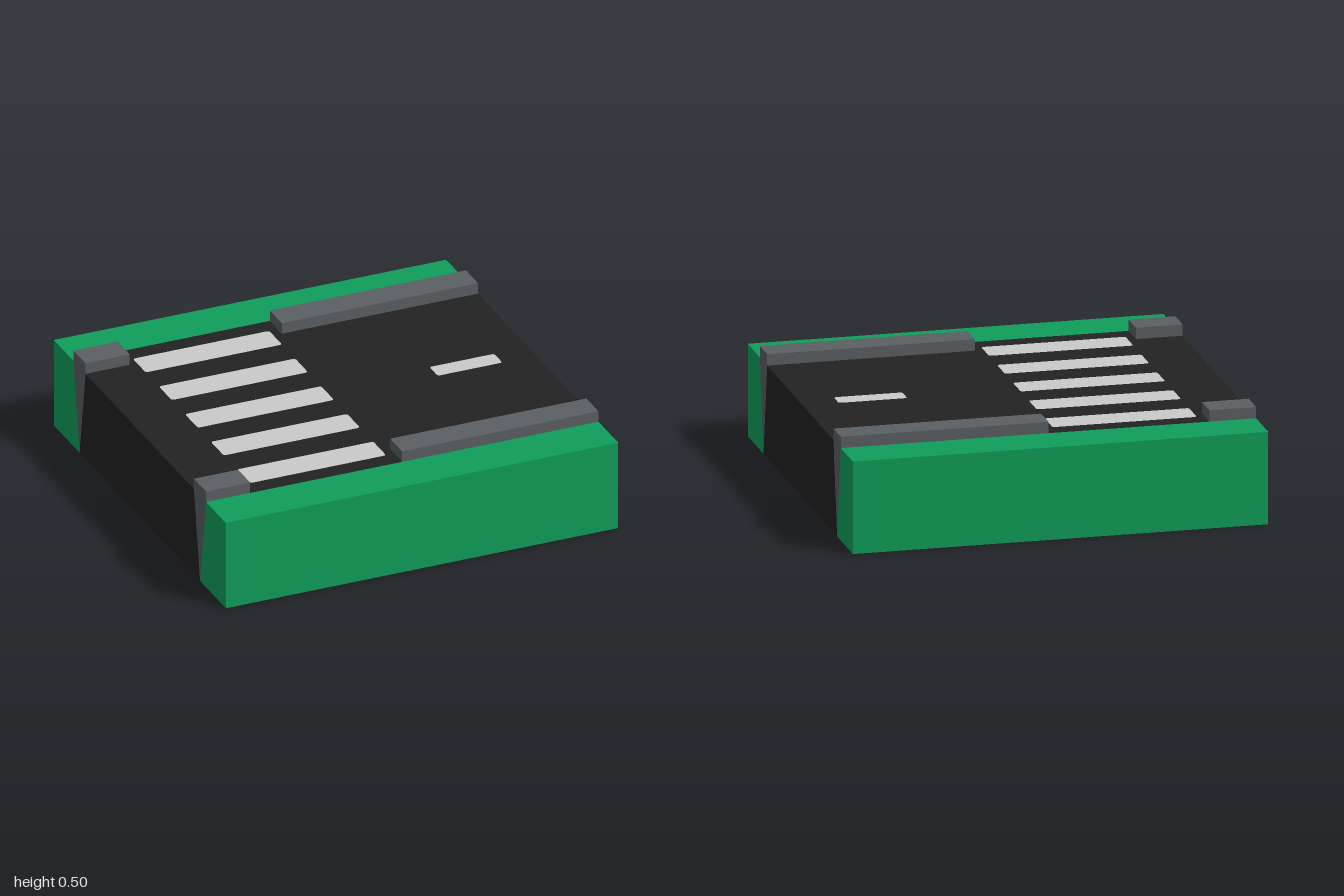
import * as THREE from 'three';

const paint = (name, color) => {
  const m = new THREE.MeshStandardMaterial({ color, side: THREE.DoubleSide });
  m.name = name;
  return m;
};

// heights, and half widths of the road inside and outside the kerbs
const ROAD_Y = 0.45, KERB_Y = 0.505, INNER = 0.63, OUTER = 0.77, FOOT = 0.7;
const KERBS = [[-1, -0.775], [0, 1]];

// flat convex panel from corner points, turned to face the given direction
function panel(name, material, corners, facing) {
  const p = corners.map((c) => new THREE.Vector3(...c));
  const normal = p[1].clone().sub(p[0]).cross(p[2].clone().sub(p[0]));
  if (normal.dot(new THREE.Vector3(...facing)) < 0) p.reverse();
  const tris = [];
  for (let i = 1; i < p.length - 1; i++) tris.push(p[0], p[i], p[i + 1]);
  const g = new THREE.BufferGeometry().setFromPoints(tris);
  g.computeVertexNormals();
  const mesh = new THREE.Mesh(g, material);
  mesh.name = name;
  return mesh;
}

// flat outline lying on the road surface
function layFlat(name, material, shape) {
  const g = new THREE.ShapeGeometry(shape, 4).rotateX(-Math.PI / 2);
  const mesh = new THREE.Mesh(g, material);
  mesh.name = name;
  mesh.position.y = ROAD_Y;
  return mesh;
}

function roundedRect(cx, cz, w, d, r = 0.015) {
  const x0 = cx - w / 2, x1 = cx + w / 2, y0 = cz - d / 2, y1 = cz + d / 2;
  const s = new THREE.Shape();
  s.moveTo(x0 + r, y0);
  s.lineTo(x1 - r, y0);
  s.quadraticCurveTo(x1, y0, x1, y0 + r);
  s.lineTo(x1, y1 - r);
  s.quadraticCurveTo(x1, y1, x1 - r, y1);
  s.lineTo(x0 + r, y1);
  s.quadraticCurveTo(x0, y1, x0, y1 - r);
  s.lineTo(x0, y0 + r);
  s.quadraticCurveTo(x0, y0, x0 + r, y0);
  return s;
}

export function createModel() {
  const grass = paint('grass green', 0x0f9d5a);
  const asphalt = paint('asphalt black', 0x222222);
  const stone = paint('kerb grey', 0x5a5f63);
  const white = paint('marking white', 0xc9c9c9);

  const model = new THREE.Group();
  model.name = 'crossingRoadTile';

  // crossing stripes and one lane dash, set flush into the road
  const marks = [-0.605, -0.3025, 0, 0.3025, 0.605].map((z) => roundedRect(-0.39, z, 0.695, 0.15));
  marks.push(roundedRect(0.662, 0, 0.33, 0.096));
  marks.forEach((s, i) => model.add(layFlat(i < 5 ? 'crossingStripe' : 'laneDash', white, s)));

  // road surface, widening where the kerb is dropped
  const edge = [[-1, INNER], [KERBS[0][1], INNER], [KERBS[0][1], OUTER], [0, OUTER], [0, INNER], [1, INNER]];
  const outline = [...edge, ...edge.map(([x, z]) => [x, -z]).reverse()];
  const road = new THREE.Shape(outline.map(([x, z]) => new THREE.Vector2(x, z)));
  road.holes.push(...marks);
  model.add(layFlat('roadSurface', asphalt, road));

  // road ends
  for (const x of [-1, 1]) {
    model.add(panel('roadEnd', asphalt,
      [[x, 0, -FOOT], [x, 0, FOOT], [x, ROAD_Y, INNER], [x, ROAD_Y, -INNER]], [x, 0, 0]));
  }

  for (const s of [-1, 1]) {
    // grass verge: top, long side and both ends
    const verge = new THREE.Group();
    verge.name = s > 0 ? 'frontVerge' : 'backVerge';
    const a = s * OUTER, b = s * INNER, f = s * FOOT;
    verge.add(
      panel('vergeTop', grass, [[-1, ROAD_Y, a], [1, ROAD_Y, a], [1, ROAD_Y, s], [-1, ROAD_Y, s]], [0, 1, 0]),
      panel('vergeSide', grass, [[-1, 0, s], [1, 0, s], [1, ROAD_Y, s], [-1, ROAD_Y, s]], [0, 0, s]));
    for (const x of [-1, 1]) {
      verge.add(panel('vergeEnd', grass, [[x, 0, f], [x, 0, s], [x, ROAD_Y, s], [x, ROAD_Y, a]], [x, 0, 0]));
    }
    model.add(verge);

    // kerbs: open-bottomed strips, tapering to the ground at the tile ends
    for (const [x0, x1] of KERBS) {
      const kerb = new THREE.Group();
      kerb.name = 'kerb';
      kerb.add(panel('kerbTop', stone,
        [[x0, KERB_Y, b], [x1, KERB_Y, b], [x1, KERB_Y, a], [x0, KERB_Y, a]], [0, 1, 0]));
      for (const [z, dir] of [[b, -s], [a, s]]) {
        kerb.add(panel('kerbSide', stone,
          [[x0, ROAD_Y, z], [x1, ROAD_Y, z], [x1, KERB_Y, z], [x0, KERB_Y, z]], [0, 0, dir]));
      }
      for (const [x, dir] of [[x0, -1], [x1, 1]]) {
        const face = [[x, ROAD_Y, b], [x, KERB_Y, b], [x, KERB_Y, a], [x, ROAD_Y, a]];
        if (Math.abs(x) === 1) face.push([x, 0, f]);
        kerb.add(panel('kerbEnd', stone, face, [dir, 0, 0]));
      }
      model.add(kerb);
    }
  }
  return model;
}
